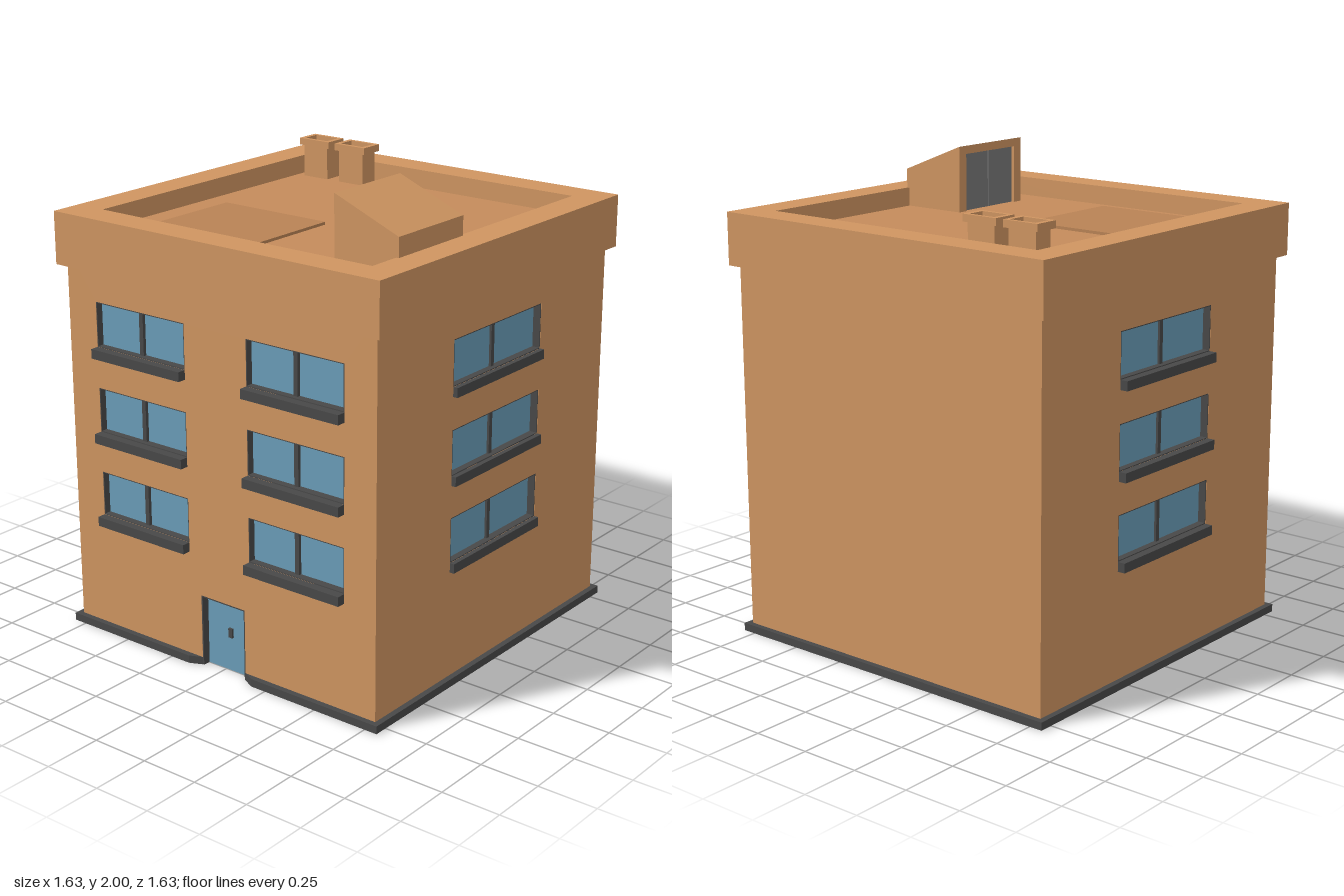
import * as THREE from 'three';

const mat = (color) => new THREE.MeshStandardMaterial({ color });
const BRICK = mat(0xcf9561), ROOF = mat(0xc58b5b), PATCH = mat(0xb98355);
const DARK = mat(0x484848), GLASS = mat(0x6a9db8), GREY = mat(0x777777);

const HALF = 0.783, THICK = 0.04, BASE = 0.033, WALL_TOP = 1.6;
const STOREYS = [0.527, 0.893, 1.258], WINDOW_H = 0.19;
const DOOR = { a: -0.1, b: 0.13, top: 0.31 };

function add(parent, name, geometry, material) {
  const mesh = new THREE.Mesh(geometry, material);
  mesh.name = name;
  parent.add(mesh);
  return mesh;
}

// Box given by its lower and upper limits on each axis
function box(parent, name, material, [x0, x1], [y0, y1], [z0, z1]) {
  const mesh = add(parent, name, new THREE.BoxGeometry(x1 - x0, y1 - y0, z1 - z0), material);
  mesh.position.set((x0 + x1) / 2, (y0 + y1) / 2, (z0 + z1) / 2);
  return mesh;
}

const polygon = (pts) => new THREE.Shape(pts.map(([x, y]) => new THREE.Vector2(x, y)));
const rect = (x0, x1, y0, y1) => polygon([[x0, y0], [x1, y0], [x1, y1], [x0, y1]]);
const extrude = (shape, depth) => new THREE.ExtrudeGeometry(shape, { depth, bevelEnabled: false });

// Rectangular ring standing upright: outer rectangle minus a border of t
function ring(x0, x1, y0, y1, t, depth) {
  const s = rect(x0, x1, y0, y1);
  s.holes.push(rect(x0 + t, x1 - t, y0 + t, y1 - t));
  return extrude(s, depth);
}

// Sliding window in the wall's own frame (outer wall face at z = 0)
function addWindow(wall, cx, half, y, sillDepth) {
  const g = new THREE.Group();
  g.name = 'window';
  g.position.set(cx, y, 0);
  wall.add(g);
  const lining = add(g, 'windowFrame', ring(-half, half, 0, WINDOW_H, 0.004, THICK - 0.001), DARK);
  lining.position.z = -THICK;
  box(g, 'leftPane', GLASS, [-half, -0.01], [0, WINDOW_H], [-0.036, -0.03]);
  box(g, 'rightPane', GLASS, [-0.01, half], [0, WINDOW_H], [-0.04, -0.034]);
  box(g, 'mullion', DARK, [-0.02, 0], [0, WINDOW_H], [-0.036, -0.02]);
  box(g, 'windowSill', DARK, [-half, half], [-0.04, 0], [-0.02, sillDepth]);
}

// One outer wall with its window openings and, if asked, a doorway
function addWall(parent, name, angle, half, columns, windowHalf, sillDepth, hasDoor) {
  const wall = new THREE.Group();
  wall.name = name;
  wall.rotation.y = angle;
  wall.position.set(Math.sin(angle) * HALF, 0, Math.cos(angle) * HALF);
  parent.add(wall);
  const doorway = hasDoor
    ? [[DOOR.a, BASE], [DOOR.a, DOOR.top], [DOOR.b, DOOR.top], [DOOR.b, BASE]] : [];
  const shape = polygon([[-half, BASE], ...doorway, [half, BASE], [half, WALL_TOP], [-half, WALL_TOP]]);
  for (const cx of columns) for (const y of STOREYS) {
    shape.holes.push(rect(cx - windowHalf, cx + windowHalf, y, y + WINDOW_H));
    addWindow(wall, cx, windowHalf, y, sillDepth);
  }
  add(wall, name + 'Panel', extrude(shape, THICK), BRICK).position.z = -THICK;
  if (hasDoor) {
    const { a, b, top } = DOOR;
    box(wall, 'doorPanel', GLASS, [a, b], [0, top], [-0.042, -0.034]);
    for (const x of [a, b - 0.006]) box(wall, 'doorJamb', DARK, [x, x + 0.006], [0, top], [-0.04, -0.001]);
    box(wall, 'doorHead', DARK, [a, b], [top - 0.006, top], [-0.04, -0.001]);
    box(wall, 'doorHandle', DARK, [0.02, 0.04], [0.15, 0.19], [-0.036, -0.024]);
  }
}

function addChimney(parent, z) {
  const g = new THREE.Group();
  g.name = 'chimney';
  g.position.set(0.6, 0, z);
  parent.add(g);
  box(g, 'chimneyShaft', BRICK, [-0.043, 0.043], [1.71, 1.86], [-0.065, 0.065]);
  const cap = rect(-0.054, 0.054, -0.081, 0.081);
  cap.holes.push(rect(-0.038, 0.038, -0.06, 0.06));
  const capMesh = add(g, 'chimneyCap', extrude(cap, 0.03), BRICK);
  capMesh.rotation.x = -Math.PI / 2;
  capMesh.position.y = 1.86;
  box(g, 'flueOpening', DARK, [-0.038, 0.038], [1.85, 1.866], [-0.06, 0.06]);
}

// Roof access hut: sloped side profile, recessed double door at the back
function addRoofHut(parent) {
  const g = new THREE.Group();
  g.name = 'roofHut';
  parent.add(g);
  const [x0, x1] = [-0.535, -0.125], zBack = 0.39, zFront = 0.69, deep = 0.02;
  const slope = (z) => 2 - (z - zBack) * 0.4;
  const body = extrude(polygon([
    [-zFront, 1.71], [-zBack - deep, 1.71], [-zBack - deep, slope(zBack + deep)], [-zFront, slope(zFront)],
  ]), x1 - x0);
  body.rotateY(Math.PI / 2);
  add(g, 'hutBody', body, BRICK).position.x = x0;
  // Surround that frames the door
  const strip = (name, a, b, low) => {
    const geo = extrude(polygon([
      [-zBack - deep, low], [-zBack, low], [-zBack, slope(zBack)], [-zBack - deep, slope(zBack + deep)],
    ]), b - a);
    geo.rotateY(Math.PI / 2);
    add(g, name, geo, BRICK).position.x = a;
  };
  strip('hutPost', x0, x0 + 0.045, 1.71);
  strip('hutPost', x1 - 0.045, x1, 1.71);
  strip('hutLintel', x0 + 0.045, x1 - 0.045, 1.965);
  const mid = (x0 + x1) / 2;
  for (const [a, b] of [[x0 + 0.045, mid - 0.002], [mid + 0.002, x1 - 0.045]])
    box(g, 'hutDoor', GREY, [a, b], [1.715, 1.965], [zBack + 0.014, zBack + deep + 0.005]);
}

export function createModel() {
  const model = new THREE.Group();
  model.name = 'apartmentBlock';

  // Plinth with a splayed notch in front of the door (drawn in x, -z)
  const p = 0.808, inner = HALF - THICK;
  const plinth = extrude(polygon([
    [-p, -p], [p, -p], [p, p], [-p, p],
    [-p, 0.155], [-HALF, -DOOR.a], [-inner, -DOOR.a],
    [-inner, -DOOR.b], [-HALF, -DOOR.b], [-p, -0.18],
  ]), BASE);
  plinth.rotateX(-Math.PI / 2);
  add(model, 'plinth', plinth, DARK);

  // Walls; the two side walls fit between front and back
  addWall(model, 'frontWall', 0, HALF, [0], 0.303, 0.02, false);
  addWall(model, 'backWall', Math.PI, HALF, [0], 0.303, 0.033, false);
  addWall(model, 'rightWall', -Math.PI / 2, inner, [-0.395, 0.395], 0.237, 0.037, true);
  addWall(model, 'leftWall', Math.PI / 2, inner, [], 0, 0, false);

  // Parapet ring and sunken roof
  const parapet = ring(-0.815, 0.815, -0.815, 0.815, 0.137, 0.22);
  parapet.rotateX(-Math.PI / 2);
  add(model, 'parapet', parapet, BRICK).position.y = 1.58;
  box(model, 'roofDeck', ROOF, [-0.68, 0.68], [1.66, 1.72], [-0.68, 0.68]);
  box(model, 'roofPatch', PATCH, [-0.595, -0.075], [1.71, 1.732], [-0.55, -0.02]);

  addRoofHut(model);
  for (const z of [-0.38, -0.577]) addChimney(model, z);
  return model;
}
